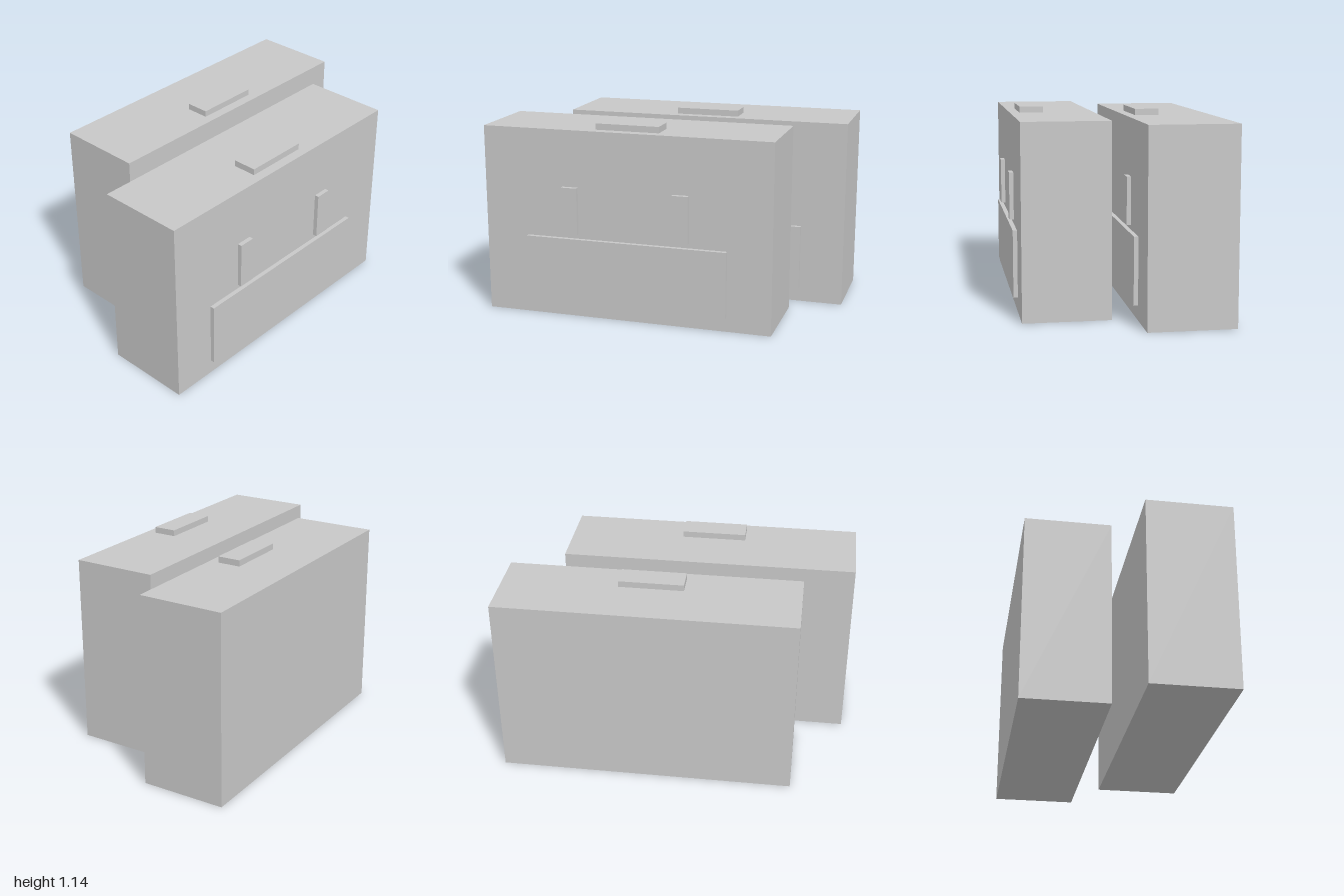
import * as THREE from 'three';

const gray = new THREE.MeshStandardMaterial({ color: 0xc8c8c8 });
gray.name = 'light gray';

// Box placed by its centre in x and z and by its underside in y
function addBox(parent, name, [w, h, d], [x, y, z]) {
  const mesh = new THREE.Mesh(new THREE.BoxGeometry(w, h, d), gray);
  mesh.name = name;
  mesh.position.set(x, y + h / 2, z);
  parent.add(mesh);
}

// One suitcase, centred on its body, facing +z
function createSuitcase(name) {
  const width = 1.709, height = 1.103, depth = 0.497, relief = 0.025;
  const faceZ = depth / 2 + relief / 2;
  const suitcase = new THREE.Group();
  suitcase.name = name;

  addBox(suitcase, 'body', [width, height, depth], [0, 0, 0]);
  addBox(suitcase, 'handle', [0.375, 0.036, 0.138], [-0.002, height, 0.123]);
  addBox(suitcase, 'frontPocket', [1.195, 0.386, relief], [0, 0.085, faceZ]);

  // Mirrored straps above the pocket
  for (const [side, sign] of [['left', 1], ['right', -1]]) {
    addBox(suitcase, side + 'Strap', [0.094, 0.276, relief], [sign * 0.33, 0.497, faceZ]);
  }
  return suitcase;
}

export function createModel() {
  const model = new THREE.Group();
  model.name = 'suitcases';

  // Two identical cases, the rear one shifted sideways
  const front = createSuitcase('frontSuitcase');
  front.position.set(-0.1455, 0, 0.3065);
  const rear = createSuitcase('rearSuitcase');
  rear.position.set(0.1455, 0, -0.3315);
  model.add(front, rear);
  return model;
}
